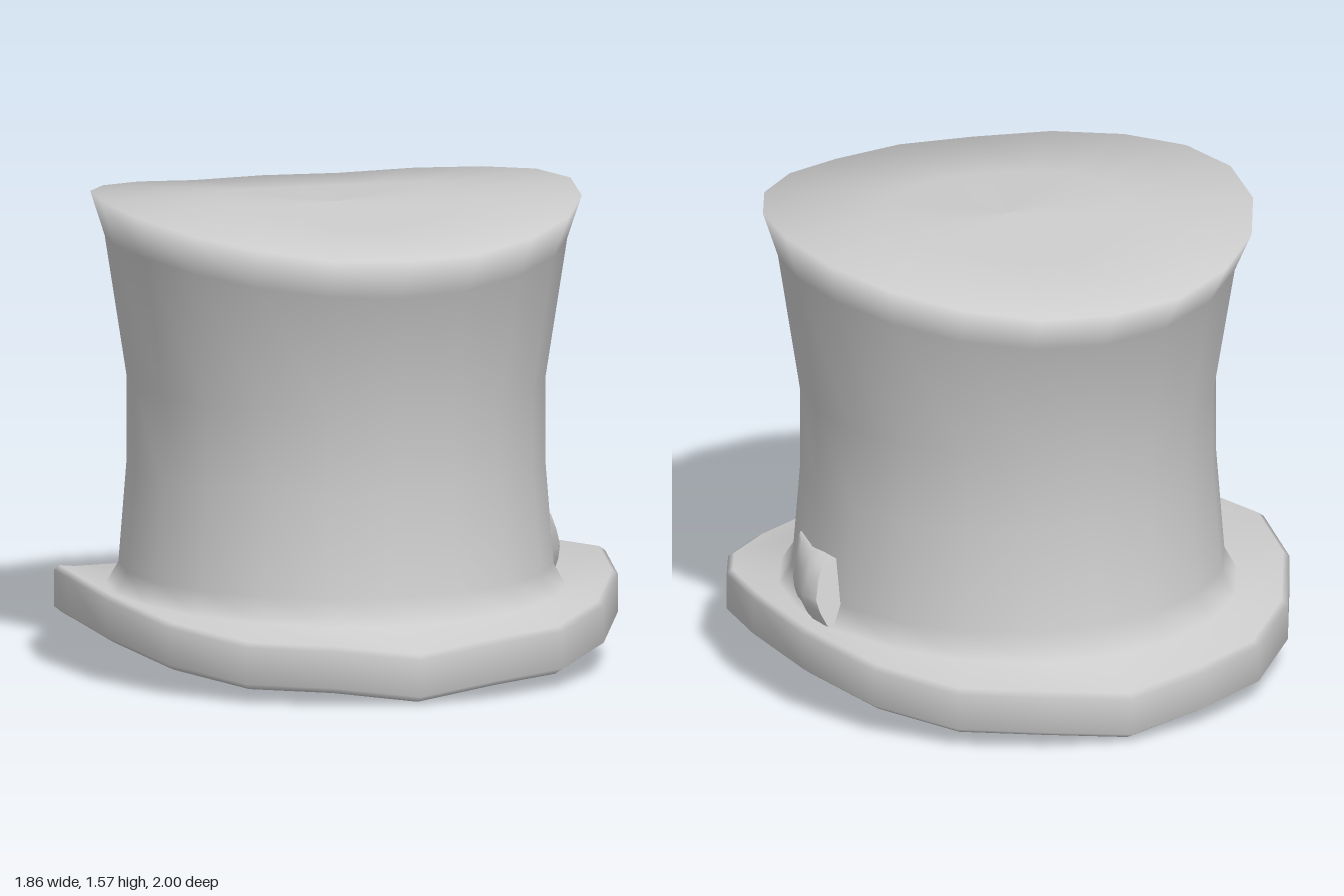
import * as THREE from 'three';
import { toCreasedNormals } from 'three/addons/utils/BufferGeometryUtils.js';

const SIDES = 20;
const STEP = (Math.PI * 2) / SIDES;

// Heights every 18 degrees from the front (or back) round to the side.
const CROWN_RIM = [1.472, 1.475, 1.502, 1.53, 1.557, 1.57];
const BRIM_EDGE = [0.165, 0.2, 0.203, 0.243, 0.297, 0.325];
const BRIM_UNDER = [0.0, 0.038, 0.04, 0.078, 0.11, 0.13];
const raise = (heights, d) => heights.map((h) => h + d);

// A height is a number, a [front, side] pair blended round the oval, or a table.
function heightAt(h, i) {
  if (typeof h === 'number') return h;
  if (h.length === 2) return h[0] + (h[1] - h[0]) * Math.sin(i * STEP) ** 2;
  const k = i % 10;
  return h[k <= 5 ? k : 10 - k];
}

// Oval rings [radiusX, radiusZ, height] from the top centre, down the outside, to the hollow below.
const RINGS = [
  [0, 0, 1.53],
  [0.405, 0.435, [1.505, 1.55]],
  [0.81, 0.87, CROWN_RIM],
  [0.767, 0.77, [1.33, 1.42]],
  [0.695, 0.69, 0.94],
  [0.695, 0.69, 0.66],
  [0.722, 0.72, 0.315],
  [0.76, 0.79, [0.23, 0.245]],
  [0.91, 0.975, BRIM_EDGE],
  [0.93, 1.0, raise(BRIM_EDGE, -0.015)],
  [0.93, 1.0, raise(BRIM_EDGE, -0.138)],
  [0.9, 0.96, raise(BRIM_EDGE, -0.16)],
  [0.82, 0.87, BRIM_UNDER],
  [0.73, 0.77, [0.1, 0.19]],
  [0.42, 0.45, [0.22, 0.245]],
  [0, 0, 0.26],
];

// Triangles joining the rings between two ring numbers.
function band(from, to) {
  const index = [];
  for (let r = from; r < to; r++) {
    for (let i = 0; i < SIDES; i++) {
      const a = r * SIDES + i;
      const b = r * SIDES + ((i + 1) % SIDES);
      if (RINGS[r + 1][0] > 0) index.push(a, a + SIDES, b + SIDES);
      if (RINGS[r][0] > 0) index.push(a, b + SIDES, b);
    }
  }
  return index;
}

// The whole skin, so that its normals flow smoothly from part to part.
function hatSkin() {
  const pos = [];
  for (const [rx, rz, h] of RINGS) {
    for (let i = 0; i < SIDES; i++) {
      pos.push(Math.sin(i * STEP) * rx, heightAt(h, i), Math.cos(i * STEP) * rz);
    }
  }
  const geo = new THREE.BufferGeometry();
  geo.setAttribute('position', new THREE.Float32BufferAttribute(pos, 3));
  geo.setIndex(band(0, RINGS.length - 1));
  geo.computeVertexNormals();
  return geo;
}

// Ribbon tab: an outline swept along z, rising out of the crown and ending in a slanted edge.
function ribbonTab() {
  const outline = [[0.64, 0.46], [0.7, 0.462], [0.75, 0.45], [0.78, 0.4], [0.8, 0.34], [0.79, 0.3], [0.75, 0.23], [0.64, 0.23]];
  const stations = [[0.14, 0.15], [0.06, 0.6], [-0.04, 0.85], [-0.11, 1], [-0.17, 0.8]];
  const n = outline.length;
  const pos = [];
  const index = [];
  stations.forEach(([z, s], r) => {
    const slant = r === stations.length - 1 ? 0.3 : 0;
    for (const [x, y] of outline) pos.push(0.69 + (x - 0.69) * (x > 0.69 ? s : 1), y, z + slant * (y - 0.36));
  });
  for (let r = 0; r < stations.length - 1; r++) {
    for (let i = 0; i < n; i++) {
      const a = r * n + i;
      const b = r * n + ((i + 1) % n);
      index.push(a, b, b + n, a, b + n, a + n);
    }
  }
  // End faces
  const last = (stations.length - 1) * n;
  for (let i = 1; i < n - 1; i++) index.push(0, i + 1, i, last, last + i, last + i + 1);
  const geo = new THREE.BufferGeometry();
  geo.setAttribute('position', new THREE.Float32BufferAttribute(pos, 3));
  geo.setIndex(index);
  return toCreasedNormals(geo, 0.9);
}

export function createModel() {
  const hat = new THREE.Group();
  hat.name = 'topHat';
  const material = new THREE.MeshStandardMaterial({ color: 0xcccccc });
  const add = (name, geometry) => {
    const mesh = new THREE.Mesh(geometry, material);
    mesh.name = name;
    hat.add(mesh);
  };

  // Saddle-shaped top, flared wall, curled brim and the shallow hollow underneath
  const skin = hatSkin();
  const parts = { crownTop: [0, 2], crownWall: [2, 7], brim: [7, 12], underside: [12, 15] };
  for (const [name, [from, to]] of Object.entries(parts)) {
    const geo = skin.clone();
    geo.setIndex(band(from, to));
    add(name, geo);
  }

  // Ribbon tab on the left side
  add('ribbonTab', ribbonTab());
  return hat;
}
